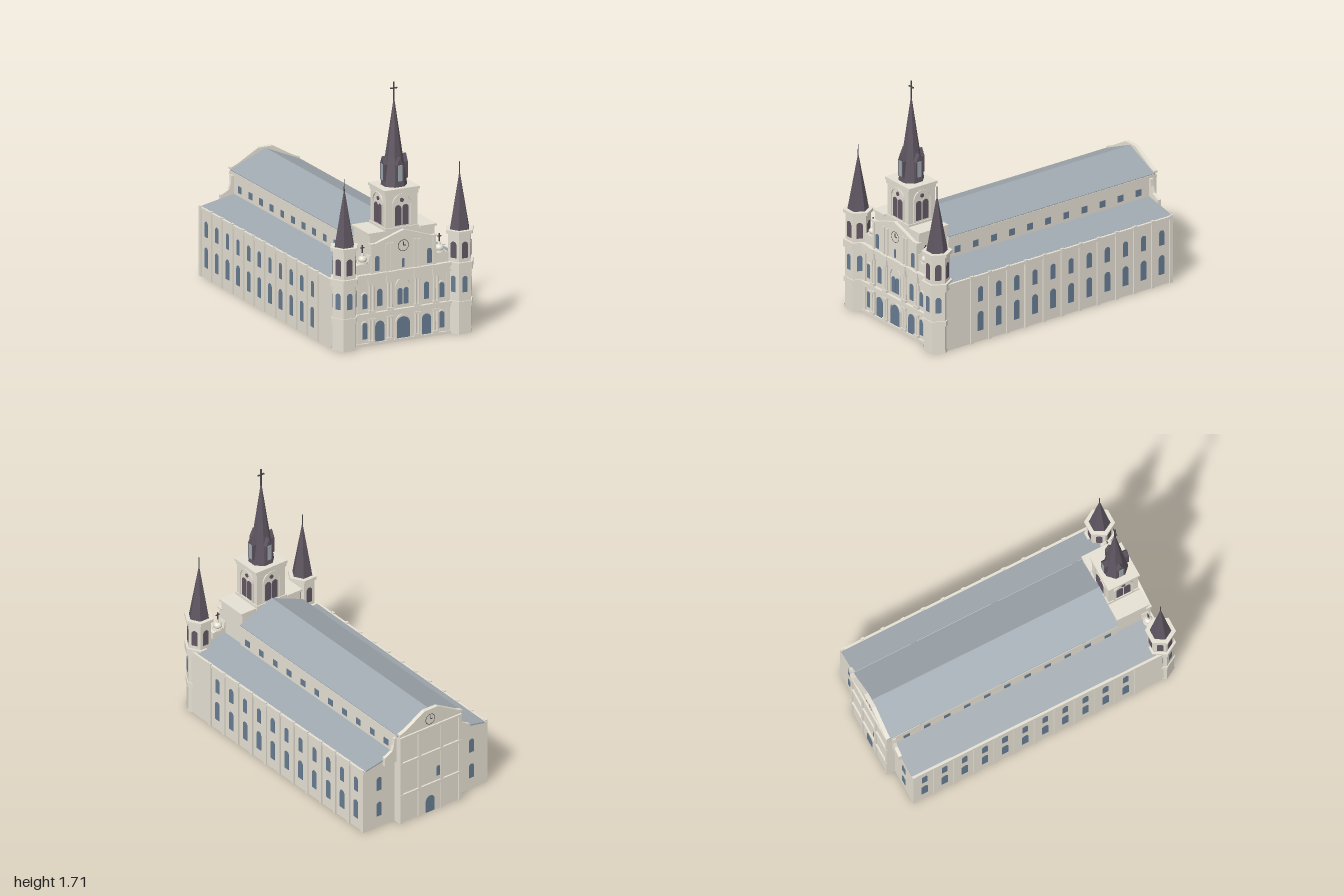
import * as THREE from 'three';

const mat = (name, color, extra = {}) => Object.assign(new THREE.MeshStandardMaterial({ color, ...extra }), { name });

export function createModel() {
  const stone = mat('stone', 0xe5dfd2, { side: THREE.DoubleSide }), roofing = mat('roof slate', 0x9fa8af);
  const slate = mat('spire slate', 0x5e5560, { flatShading: true });
  const glass = mat('window glass', 0x677c91), louver = mat('louver', 0x625763), metal = mat('metal', 0x4b494d);
  const root = new THREE.Group();
  root.name = 'church';

  // ---- helpers ----
  const group = (name, x = 0, y = 0, z = 0, ry = 0, parent = root) => {
    const g = new THREE.Group();
    g.name = name;
    g.position.set(x, y, z);
    g.rotation.y = ry;
    parent.add(g);
    return g;
  };
  const add = (name, geo, m, x, y, z, parent = root, ry = 0) => {
    const mesh = new THREE.Mesh(geo, m);
    mesh.name = name;
    mesh.position.set(x, y, z);
    mesh.rotation.y = ry;
    parent.add(mesh);
    return mesh;
  };
  // box given by its width, bottom and top, and depth range
  const box = (name, w, y0, y1, z0, z1, x = 0, parent = root, m = stone) =>
    add(name, new THREE.BoxGeometry(w, y1 - y0, z1 - z0), m, x, (y0 + y1) / 2, (z0 + z1) / 2, parent);
  const poly = (pts) => new THREE.Shape(pts.map(([x, y]) => new THREE.Vector2(x, y)));
  const extrude = (shape, depth) => new THREE.ExtrudeGeometry(shape, { depth, bevelEnabled: false, curveSegments: 8 });
  const prism = (name, pts, z0, z1, m = stone, parent = root) =>
    add(name, extrude(poly(pts), z1 - z0), m, 0, 0, z0, parent);
  const arch = (name, w, y0, y1, x, z, m = glass, parent = root, ry = 0) => {
    const s = new THREE.Shape(), r = w / 2, h = y1 - y0 - r;
    s.moveTo(-r, 0).lineTo(r, 0).lineTo(r, h).absarc(0, h, r, 0, Math.PI, false);
    return add(name, extrude(s, 0.005), m, x, y0, z, parent, ry);
  };
  const archFrame = (name, w, t, y0, y1, x, z, parent = root) => {
    const s = new THREE.Shape(), r = w / 2, R = r + t, h = y1 - y0 - r;
    s.moveTo(-R, 0).lineTo(-r, 0).lineTo(-r, h).absarc(0, h, r, Math.PI, 0, true);
    s.lineTo(r, 0).lineTo(R, 0).lineTo(R, h).absarc(0, h, R, 0, Math.PI, false);
    return add(name, extrude(s, 0.01), stone, x, y0, z, parent);
  };
  const cyl = (name, rt, rb, y0, y1, x, z, n, m = stone, parent = root, start = 0) =>
    add(name, new THREE.CylinderGeometry(rt, rb, y1 - y0, n, 1, false, start), m, x, (y0 + y1) / 2, z, parent);
  // six-sided stage with sharp corners
  const hexStage = (r, y0, y1, open, parent) => {
    const geo = new THREE.CylinderGeometry(r, r, y1 - y0, 6, 1, open, Math.PI / 6).toNonIndexed();
    geo.computeVertexNormals();
    add('towerStage', geo, stone, 0, (y0 + y1) / 2, 0, parent);
  };
  const clock = (parent, y, z) => {
    add('clockRing', new THREE.RingGeometry(0.035, 0.039, 28), metal, 0, y, z + 0.003, parent);
    box('clockHandLong', 0.004, y, y + 0.026, z, z + 0.004, 0, parent, metal);
    box('clockHandShort', 0.018, y - 0.002, y + 0.002, z, z + 0.004, 0.009, parent, metal);
  };
  const cross = (parent, x, y0, y1, z, t, arm) => {
    box('crossPost', t, y0, y1, z - t / 2, z + t / 2, x, parent, metal);
    const ya = y0 + (y1 - y0) * 0.67;
    box('crossArm', arm, ya - t / 2, ya + t / 2, z - t / 2, z + t / 2, x, parent, metal);
  };
  const sides = [-1, 1];

  // ---- hall: nave and aisles as hollow shells, open below ----
  const hall = group('hall');
  box('naveFrontWall', 0.49, 0, 0.66, 0.68, 0.69, 0, hall);
  for (const s of sides) {
    const flip = (pts) => pts.map(([x, y]) => [s * x, y]);
    box('naveWall', 0.01, 0, 0.66, -0.975, 0.69, s * 0.245, hall);
    prism('naveCeiling', flip([[0, 0.762], [0.25, 0.656], [0.25, 0.66], [0, 0.767]]), -0.975, 0.69, stone, hall);
    prism('naveRoof', flip([[0, 0.767], [0.256, 0.66], [0.256, 0.669], [0, 0.78]]), -0.978, 0.69, roofing, hall);
    box('naveCornice', 0.014, 0.648, 0.664, -0.97, 0.69, s * 0.252, hall);
    box('aisleWall', 0.01, 0, 0.46, -0.935, 0.9, s * 0.49, hall);
    box('aisleBackWall', 0.25, 0, 0.455, -0.935, -0.925, s * 0.37, hall);
    prism('aisleBackTop', flip([[0.25, 0.45], [0.49, 0.45], [0.25, 0.51]]), -0.935, -0.925, stone, hall);
    box('aisleEave', 0.022, 0.447, 0.467, -0.938, 0.88, s * 0.492, hall);
    prism('aisleCeiling', flip([[0.24, 0.502], [0.485, 0.452], [0.485, 0.459], [0.24, 0.509]]), -0.935, 0.9, stone, hall);
    prism('aisleRoof', flip([[0.24, 0.509], [0.486, 0.459], [0.486, 0.468], [0.24, 0.518]]), -0.937, 0.9, roofing, hall);
    // eleven bays along each side
    for (let i = 0; i < 12; i++) {
      const z = 0.689 - i * 0.1465;
      box('buttress', 0.014, 0, 0.475, z - 0.012, z + 0.012, s * 0.499, hall);
      if (i === 11) continue;
      const zc = z - 0.0733, ry = s * Math.PI / 2;
      arch('lowerAisleWindow', 0.045, 0.075, 0.21, s * 0.493, zc, glass, hall, ry);
      arch('upperAisleWindow', 0.04, 0.28, 0.385, s * 0.493, zc, glass, hall, ry);
      box('clerestoryWindow', 0.008, 0.54, 0.585, zc - 0.0225, zc + 0.0225, s * 0.25, hall, glass);
    }
  }

  // ---- rear gable, built facing +z and turned round ----
  const rear = group('rearGable', 0, 0, 0, Math.PI);
  prism('gableWall', [[-0.25, 0], [0.25, 0], [0.25, 0.675], [0.21, 0.685], [0.05, 0.775], [-0.05, 0.775], [-0.21, 0.685], [-0.25, 0.675]], 0.972, 0.987, stone, rear);
  for (const s of sides) {
    const flip = (pts) => pts.map(([x, y]) => [s * x, y]);
    for (const x of [0.09, 0.238]) box('rearPilaster', 0.022, 0, 0.64, 0.987, 0.997, s * x, rear);
    prism('gableCoping', flip([[0.253, 0.668], [0.21, 0.682], [0.05, 0.773], [0, 0.773], [0, 0.788], [0.053, 0.788], [0.214, 0.696], [0.253, 0.682]]), 0.972, 1.0, stone, rear);
    prism('rearScroll', flip([[0.25, 0.46], [0.345, 0.46], [0.345, 0.52], [0.32, 0.53], [0.285, 0.55], [0.27, 0.59], [0.265, 0.64], [0.25, 0.64]]), 0.935, 0.958, stone, rear);
    arch('rearAisleLowerWindow', 0.04, 0.085, 0.19, s * 0.375, 0.933, glass, rear);
    arch('rearAisleUpperWindow', 0.04, 0.28, 0.38, s * 0.375, 0.933, glass, rear);
  }
  for (const y of [0.2, 0.44, 0.635]) box('rearCornice', 0.5, y, y + 0.018, 0.987, 0.999, 0, rear);
  arch('rearDoor', 0.07, 0, 0.12, 0, 0.985, glass, rear);
  arch('rearSmallWindow', 0.026, 0.25, 0.325, 0.065, 0.985, glass, rear);
  clock(rear, 0.705, 0.987);

  // ---- front: two full-width storeys ----
  const front = group('frontFacade');
  box('facadeWall', 0.76, 0, 0.45, 0.913, 0.925, 0, front);
  box('plinth', 0.76, 0, 0.018, 0.92, 0.938, 0, front);
  box('lowerCornice', 0.76, 0.182, 0.205, 0.92, 0.938, 0, front);
  box('lowerCorniceLip', 0.76, 0.205, 0.22, 0.92, 0.946, 0, front);
  box('upperCornice', 0.76, 0.42, 0.455, 0.9, 0.938, 0, front);
  box('upperCorniceLip', 0.76, 0.455, 0.482, 0.85, 0.946, 0, front);
  arch('mainDoor', 0.1, 0.018, 0.16, 0, 0.924, glass, front);
  archFrame('mainDoorFrame', 0.1, 0.01, 0.018, 0.17, 0, 0.924, front);
  archFrame('balconyArch', 0.096, 0.01, 0.24, 0.415, 0, 0.924, front);
  for (const s of sides) {
    arch('sideDoor', 0.064, 0.018, 0.155, s * 0.17, 0.924, glass, front);
    arch('outerLowerWindow', 0.04, 0.045, 0.155, s * 0.28, 0.924, glass, front);
    archFrame('outerLowerFrame', 0.04, 0.006, 0.045, 0.161, s * 0.28, 0.924, front);
    arch('balconyWindow', 0.036, 0.245, 0.355, s * 0.022, 0.924, glass, front);
    arch('middleWindow', 0.036, 0.255, 0.37, s * 0.17, 0.924, glass, front);
    arch('outerUpperWindow', 0.04, 0.25, 0.35, s * 0.28, 0.924, glass, front);
    archFrame('outerUpperFrame', 0.04, 0.006, 0.25, 0.356, s * 0.28, 0.924, front);
    // paired columns on both storeys
    for (const [y0, y1] of [[0.018, 0.182], [0.22, 0.42]])
      for (const x of [0.088, 0.112, 0.222, 0.246]) {
        cyl('column', 0.008, 0.009, y0, y1, s * x, 0.932, 10, stone, front);
        box('columnBase', 0.022, y0, y0 + 0.018, 0.92, 0.944, s * x, front);
        box('columnCapital', 0.022, y1 - 0.014, y1, 0.92, 0.944, s * x, front);
      }
    for (const x of [0.1, 0.234]) box('corniceBreak', 0.06, 0.42, 0.482, 0.92, 0.952, s * x, front);
    box('outerPilaster', 0.022, 0.018, 0.42, 0.92, 0.934, s * 0.325, front);

    // urn with cross on a curved shoulder
    prism('shoulderScroll', [[0.23, 0.48], [0.335, 0.48], [0.335, 0.545], [0.31, 0.55], [0.25, 0.55], [0.24, 0.6], [0.23, 0.6]].map(([x, y]) => [s * x, y]), 0.87, 0.92, stone, front);
    cyl('urnFoot', 0.034, 0.036, 0.55, 0.562, s * 0.28, 0.895, 16, stone, front);
    const bowl = add('urn', new THREE.SphereGeometry(0.03, 16, 10), stone, s * 0.28, 0.575, 0.895, front);
    bowl.scale.y = 0.85;
    cyl('urnNeck', 0.006, 0.012, 0.595, 0.618, s * 0.28, 0.895, 8, stone, front);
    cross(front, s * 0.28, 0.615, 0.672, 0.895, 0.006, 0.028);
  }

  // ---- front third storey with pediment ----
  const attic = group('thirdStorey');
  box('atticBlock', 0.47, 0.44, 0.735, 0.69, 0.915, 0, attic);
  prism('pedimentWall', [[-0.235, 0.48], [0.235, 0.48], [0.235, 0.675], [0.2, 0.675], [0, 0.74], [-0.2, 0.675], [-0.235, 0.675]], 0.9, 0.928, stone, attic);
  clock(attic, 0.64, 0.928);
  arch('atticSmallWindow', 0.018, 0.495, 0.555, 0, 0.927, glass, attic);
  for (const s of sides) {
    const rake = [[0.245, 0.67], [0.2, 0.67], [0, 0.737], [0, 0.75], [0.203, 0.682], [0.245, 0.682]];
    prism('pedimentMoulding', rake.map(([x, y]) => [s * x, y]), 0.9, 0.94, stone, attic);
    box('atticCap', 0.12, 0.735, 0.75, 0.685, 0.922, s * 0.188, attic);
    arch('atticWindow', 0.032, 0.495, 0.595, s * 0.19, 0.927, glass, attic);
    for (const x of [0.085, 0.118, 0.225]) box('atticPilaster', 0.02, 0.482, 0.672, 0.925, 0.936, s * x, attic);
  }

  // ---- hexagonal corner towers ----
  for (const s of sides) {
    const tower = group('cornerTower', s * 0.42, 0, 0.91);
    const stages = [[0.092, 0, 0.02, true], [0.086, 0, 0.43, true], [0.094, 0.185, 0.22], [0.1, 0.43, 0.482], [0.083, 0.482, 0.67], [0.1, 0.67, 0.692]];
    for (const [r, y0, y1, open = false] of stages) hexStage(r, y0, y1, open, tower);
    cyl('towerSpire', 0.003, 0.07, 0.692, 1.065, 0, 0, 6, slate, tower, Math.PI / 6);
    cyl('towerFinial', 0.0025, 0.0035, 1.06, 1.14, 0, 0, 6, metal, tower);
    for (let i = 0; i < 6; i++) {
      const face = group('towerFace', 0, 0, 0, i * Math.PI / 3, tower);
      arch('towerWindow', 0.036, 0.28, 0.388, 0, 0.0725, glass, face);
      arch('towerLouver', 0.042, 0.508, 0.618, 0, 0.07, louver, face);
    }
  }

  // ---- bell tower and main spire ----
  const bell = group('bellTower', 0, 0, 0.8);
  box('bellBase', 0.242, 0.69, 0.76, -0.115, 0.115, 0, bell);
  box('bellStage', 0.228, 0.76, 0.99, -0.107, 0.107, 0, bell);
  box('bellFrieze', 0.238, 0.975, 1.0, -0.112, 0.112, 0, bell);
  box('bellCornice', 0.258, 1.0, 1.018, -0.114, 0.114, 0, bell);
  cyl('mainSpire', 0.004, 0.086, 1.018, 1.585, 0, 0, 8, slate, bell, Math.PI / 8);
  cross(bell, 0, 1.58, 1.707, 0, 0.008, 0.05);
  for (let i = 0; i < 4; i++) {
    const face = group('bellFace', 0, 0, 0, i * Math.PI / 2, bell), zf = i % 2 ? 0.113 : 0.106;
    for (const s of sides) arch('bellLouver', 0.045, 0.772, 0.908, s * 0.027, zf, louver, face);
    archFrame('bellArch', 0.124, 0.009, 0.765, 0.975, 0, zf, face);
    add('bellRoundel', new THREE.CylinderGeometry(0.014, 0.014, 0.008, 16).rotateX(Math.PI / 2), louver, 0, 0.94, zf + 0.002, face);
    prism('dormer', [[-0.026, 1.055], [0.026, 1.055], [0.026, 1.165], [0, 1.218], [-0.026, 1.165]], 0, 0.088, slate, face);
    box('dormerWindow', 0.032, 1.06, 1.168, 0.086, 0.091, 0, face, roofing);
  }
  return root;
}
